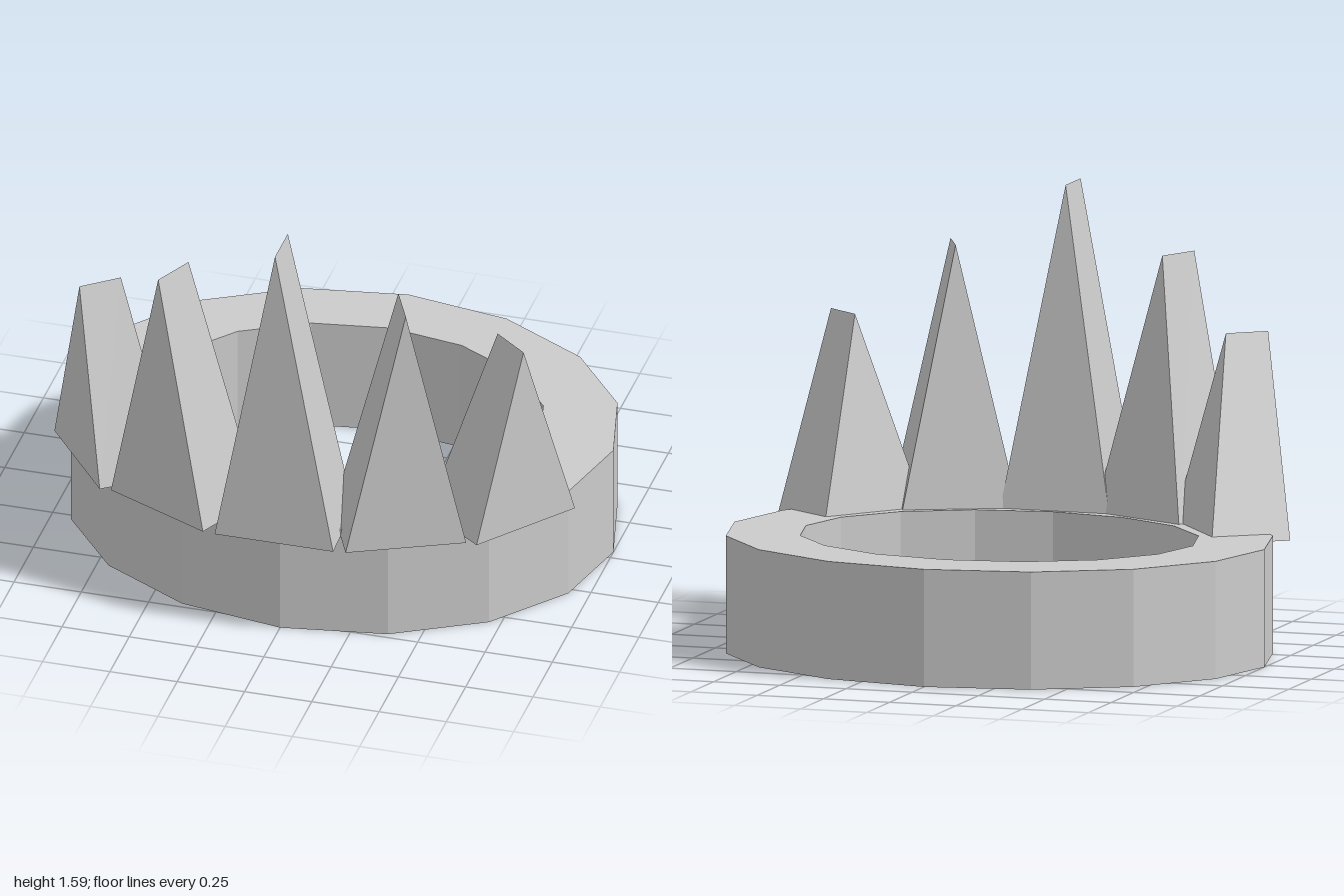
import * as THREE from 'three';

const material = new THREE.MeshStandardMaterial({ color: 0xcccccc, flatShading: true });

// Sixteen-sided oval outline
function oval(rx, rz, sides = 16) {
  return Array.from({ length: sides }, (_, i) => {
    const a = (i / sides) * Math.PI * 2;
    return new THREE.Vector2(rx * Math.cos(a), rz * Math.sin(a));
  });
}

// Wedge spike: four base corners [x, z] and a level ridge from front to back
function spikeGeometry({ f0, f1, b0, b1, rf, rb, top }, base = 0.4) {
  const at = ([x, z], y) => [x, y, z];
  const F0 = at(f0, base), F1 = at(f1, base), B0 = at(b0, base), B1 = at(b1, base);
  const RF = at(rf, top), RB = at(rb, top);
  const triangles = [
    F0, F1, RF, // front
    B1, B0, RB, // back
    F1, B1, RB, F1, RB, RF, // right slope
    B0, F0, RF, B0, RF, RB, // left slope
    F0, B0, B1, F0, B1, F1, // underside
  ];
  const g = new THREE.BufferGeometry();
  g.setAttribute('position', new THREE.Float32BufferAttribute(triangles.flat(), 3));
  g.computeVertexNormals();
  return g;
}

// Mirror a spike across x, swapping its sides to keep the faces outward
function mirror({ f0, f1, b0, b1, rf, rb, top }) {
  const m = ([x, z]) => [-x, z];
  return { f0: m(f1), f1: m(f0), b0: m(b1), b1: m(b0), rf: m(rf), rb: m(rb), top };
}

export function createModel() {
  const group = new THREE.Group();
  const add = (name, geometry) => {
    const mesh = new THREE.Mesh(geometry, material);
    mesh.name = name;
    group.add(mesh);
  };

  // Oval band
  const outline = new THREE.Shape(oval(1, 0.83));
  outline.holes.push(new THREE.Path(oval(0.73, 0.59)));
  const band = new THREE.ExtrudeGeometry(outline, { depth: 0.425, bevelEnabled: false });
  band.rotateX(-Math.PI / 2).translate(0, 0, -0.04);
  add('band', band);

  // Spikes, tallest at the front centre
  const centre = {
    f0: [-0.22, 0.87], f1: [0.22, 0.87], b0: [-0.21, 0.565], b1: [0.21, 0.565],
    rf: [0, 0.855], rb: [0, 0.69], top: 1.585,
  };
  const middle = {
    f0: [0.265, 0.865], f1: [0.66, 0.68], b0: [0.137, 0.59], b1: [0.525, 0.41],
    rf: [0.46, 0.765], rb: [0.39, 0.617], top: 1.36,
  };
  const outer = {
    f0: [0.7, 0.685], f1: [0.967, 0.342], b0: [0.465, 0.51], b1: [0.73, 0.168],
    rf: [0.825, 0.513], rb: [0.7, 0.413], top: 1.125,
  };
  add('centreSpike', spikeGeometry(centre));
  for (const [name, spike] of [['MiddleSpike', middle], ['OuterSpike', outer]]) {
    add('left' + name, spikeGeometry(spike));
    add('right' + name, spikeGeometry(mirror(spike)));
  }
  return group;
}
